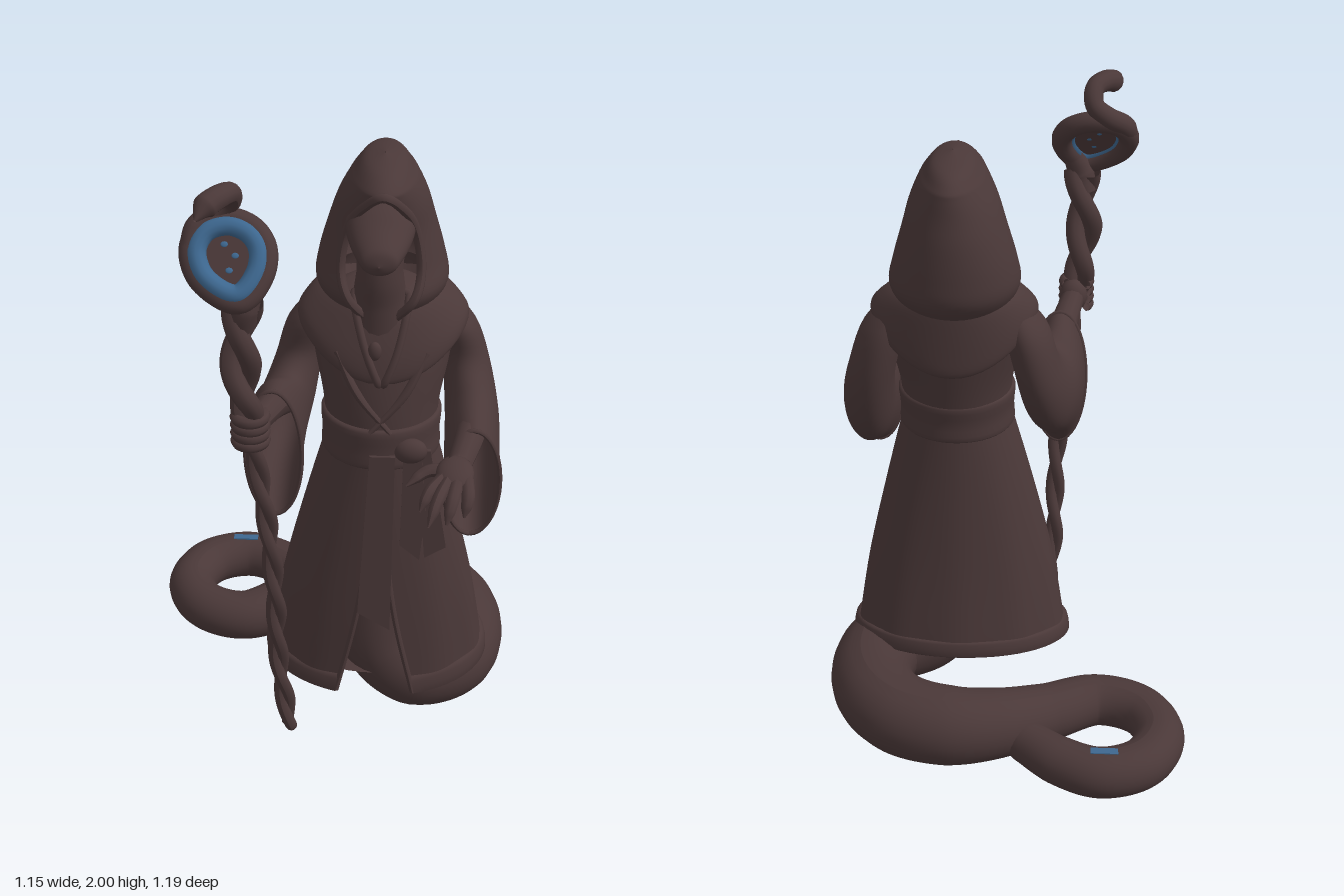
import * as THREE from 'three';
import { mergeVertices } from 'three/addons/utils/BufferGeometryUtils.js';

const PI = Math.PI;
const brown = new THREE.MeshStandardMaterial({ color: 0x4a3838, side: THREE.DoubleSide });
brown.name = 'dark brown';
const blue = new THREE.MeshStandardMaterial({ color: 0x3d678f, side: THREE.DoubleSide });
blue.name = 'blue';

const V = (p) => new THREE.Vector3(...p);

function add(parent, name, geometry, material = brown) {
  const mesh = new THREE.Mesh(geometry, material);
  mesh.name = name;
  parent.add(mesh);
  return mesh;
}

// Smoothly resample section rows: [x, y, z, halfWidth, halfDepth, tilt, frontGap, dip]
function resample(rows, steps) {
  const out = [];
  const last = rows.length - 1;
  for (let i = 0; i < last; i++) {
    for (let s = 0; s < steps; s++) {
      const t = s / steps;
      out.push([0, 1, 2, 3, 4, 5, 6, 7].map((k) => {
        const [a, b, c, d] = [-1, 0, 1, 2].map((o) => rows[Math.min(last, Math.max(0, i + o))][k] || 0);
        const m = (c - a) / 2, n = (d - b) / 2;
        return b + m * t + (3 * (c - b) - 2 * m - n) * t * t + (2 * (b - c) + m + n) * t * t * t;
      }));
    }
  }
  out.push([0, 1, 2, 3, 4, 5, 6, 7].map((k) => rows[last][k] || 0));
  return out;
}

function sectionPoint([x, y, z, w, h, tilt, , dip], a, ripple) {
  const f = 1 + ripple * Math.cos(10 * a);
  const c = Math.cos(a) * h * f;
  return [x + Math.sin(a) * w * f, y + c * Math.sin(tilt) - dip * Math.cos(a) ** 2, z + c * Math.cos(tilt)];
}

// Skin over elliptical sections; a front gap leaves the skin open
function loft(rows, { steps = 5, n = 48, ripple = 0 } = {}) {
  const sections = resample(rows, steps), pos = [], idx = [];
  sections.forEach((r, j) => {
    const gap = Math.max(0, r[6]);
    const rip = ripple * (1 - j / (sections.length - 1));
    for (let i = 0; i <= n; i++) pos.push(...sectionPoint(r, gap + (2 * PI - 2 * gap) * i / n, rip));
  });
  for (let j = 0; j < sections.length - 1; j++) {
    for (let i = 0; i < n; i++) {
      const a = j * (n + 1) + i, b = a + n + 1;
      idx.push(a, a + 1, b + 1, a, b + 1, b);
    }
  }
  let g = new THREE.BufferGeometry();
  g.setAttribute('position', new THREE.Float32BufferAttribute(pos, 3));
  g.setIndex(idx);
  g = mergeVertices(g, 1e-5);
  g.computeVertexNormals();
  return g;
}

// Tube whose radius follows a list of values along the path
function taper(points, radii, segs = 24, sides = 12) {
  const curve = new THREE.CatmullRomCurve3(points.map(V));
  const g = new THREE.TubeGeometry(curve, segs, 1, sides);
  const p = g.attributes.position, v = new THREE.Vector3();
  for (let i = 0; i <= segs; i++) {
    const c = curve.getPointAt(i / segs);
    const f = curve.getUtoTmapping(i / segs) * (radii.length - 1);
    const k = Math.min(radii.length - 2, Math.floor(f));
    const r = THREE.MathUtils.lerp(radii[k], radii[k + 1], f - k);
    for (let s = 0; s <= sides; s++) {
      const q = i * (sides + 1) + s;
      v.fromBufferAttribute(p, q).sub(c).multiplyScalar(r).add(c);
      p.setXYZ(q, v.x, v.y, v.z);
    }
  }
  g.computeVertexNormals();
  return g;
}

// Rolled trim along the open front edges of a loft
function edgeTrim(rows, r) {
  const s = resample(rows, 3).filter((q) => q[6] > 0.01);
  const pts = [...s.map((q) => sectionPoint(q, q[6], 0)), ...s.reverse().map((q) => sectionPoint(q, -q[6], 0))];
  return taper(pts, [r, r], 100, 8);
}

// Closed teardrop outline of the staff head
function teardrop(scale) {
  const pts = [[0, 0.108], [-0.07, 0.085], [-0.1, 0.025], [-0.07, -0.06], [0.035, -0.115], [0.095, -0.04], [0.1, 0.035], [0.065, 0.085]];
  return new THREE.CatmullRomCurve3(pts.map(([x, y]) => new THREE.Vector3(x * scale, y * scale, 0)), true);
}

function ball(parent, name, at, scale, material) {
  const m = add(parent, name, new THREE.SphereGeometry(1, 20, 14), material);
  m.position.set(...at);
  m.scale.set(...scale);
  return m;
}

export function createModel() {
  const model = new THREE.Group();
  model.name = 'robedSerpent';

  // Serpent tail: drops out of the robe, sweeps behind and ends in a loop
  add(model, 'tail', taper([
    [0.15, 0.8, 0.1], [0.15, 0.5, 0.13], [0.17, 0.27, 0.13], [0.28, 0.15, 0.115], [0.4, 0.135, 0.05],
    [0.44, 0.137, -0.08], [0.41, 0.14, -0.22], [0.32, 0.14, -0.32], [0.17, 0.14, -0.365], [0.02, 0.13, -0.335],
    [-0.14, 0.11, -0.25], [-0.3, 0.1, -0.17], [-0.44, 0.1, -0.22], [-0.495, 0.1, -0.345], [-0.44, 0.1, -0.47],
    [-0.31, 0.1, -0.52], [-0.18, 0.1, -0.47], [-0.07, 0.1, -0.38], [0.02, 0.11, -0.33]],
  [0.1, 0.11, 0.13, 0.137, 0.135, 0.132, 0.132, 0.13, 0.126, 0.112,
    0.092, 0.082, 0.08, 0.08, 0.08, 0.079, 0.076, 0.068, 0.04], 180, 24));
  const patch = add(model, 'tailMark', new THREE.BoxGeometry(0.085, 0.008, 0.026), blue);
  patch.position.set(-0.32, 0.177, -0.512);

  // Robe skirt, split at the front
  const skirt = [
    [0.155, 0.21, 0.072, 0.345, 0.232, -0.18, 0.36], [0.155, 0.26, 0.073, 0.338, 0.226, -0.16, 0.33],
    [0.155, 0.5, 0.086, 0.298, 0.203, -0.06, 0.19], [0.157, 0.78, 0.096, 0.232, 0.18, 0, 0.09],
    [0.16, 1.02, 0.1, 0.17, 0.16, 0, 0.02]];
  add(model, 'robeSkirt', loft(skirt, { n: 96, ripple: 0.014 }));
  add(model, 'skirtTrim', edgeTrim(skirt, 0.009));
  add(model, 'hem', loft([
    [0.155, 0.205, 0.072, 0.343, 0.23, -0.18, 0.36], [0.155, 0.21, 0.072, 0.356, 0.24, -0.18, 0.36],
    [0.155, 0.255, 0.073, 0.35, 0.235, -0.17, 0.34], [0.155, 0.265, 0.073, 0.335, 0.224, -0.16, 0.33]], { steps: 2 }));
  add(model, 'skirtLining', loft([[0.155, 0.25, 0.06, 0.001, 0.001, -0.18], [0.155, 0.25, 0.06, 0.325, 0.195, -0.18]], { steps: 1 }));

  // Upper robe, belt and shawl collar
  add(model, 'robeTop', loft([
    [0.16, 0.98, 0.1, 0.165, 0.155, 0], [0.16, 1.15, 0.085, 0.172, 0.165, 0], [0.16, 1.3, 0.06, 0.2, 0.168, 0],
    [0.155, 1.41, 0.035, 0.21, 0.16, 0], [0.155, 1.48, 0.02, 0.13, 0.13, 0], [0.155, 1.5, 0.02, 0.01, 0.01, 0]]));
  add(model, 'belt', loft([
    [0.16, 1.0, 0.1, 0.165, 0.155, 0], [0.16, 1.005, 0.1, 0.178, 0.17, 0], [0.16, 1.06, 0.098, 0.176, 0.168, 0],
    [0.16, 1.12, 0.093, 0.18, 0.172, 0], [0.16, 1.13, 0.092, 0.165, 0.155, 0]], { steps: 3 }));
  const shawl = [
    [0.16, 1.385, 0.04, 0.225, 0.17, 0, 0.02, 0.12], [0.16, 1.4, 0.042, 0.248, 0.193, 0, 0.04, 0.12],
    [0.16, 1.44, 0.035, 0.245, 0.19, 0, 0.16, 0.09], [0.157, 1.49, 0.015, 0.2, 0.17, 0, 0.36, 0.03],
    [0.155, 1.52, 0.0, 0.15, 0.15, 0, 0.55, 0]];
  add(model, 'shawlCollar', loft(shawl));
  add(model, 'collarTrim', edgeTrim(shawl, 0.012));
  ball(model, 'clasp', [0.14, 1.375, 0.216], [0.02, 0.03, 0.016]);
  for (const s of [-1, 1]) {
    add(model, 'lapelFold', taper([[0.16 + s * 0.13, 1.36, 0.19], [0.16 + s * 0.07, 1.24, 0.23], [0.16 - s * 0.03, 1.12, 0.255]],
      [0.012, 0.013, 0.008], 16, 8));
  }

  // Sash ends hanging from the belt
  const strips = [
    [[0.13, 0], [0.205, 0], [0.2, -0.61], [0.1, -0.55]],
    [[0.23, 0], [0.285, 0], [0.3, -0.2], [0.285, -0.36], [0.225, -0.31]],
    [[0.27, 0], [0.31, 0], [0.365, -0.33], [0.3, -0.37]]];
  strips.forEach((pts, i) => {
    const shape = new THREE.Shape(pts.map((p) => new THREE.Vector2(...p)));
    const m = add(model, 'sashEnd', new THREE.ExtrudeGeometry(shape, { depth: 0.016, bevelEnabled: false }));
    m.position.set(0, 1.05, [0.26, 0.248, 0.222][i]);
    m.rotation.x = -0.07;
  });
  ball(model, 'sashKnot', [0.25, 1.06, 0.25], [0.05, 0.04, 0.032]);

  // Hood
  const hood = [
    [0.155, 1.45, 0.01, 0.155, 0.15, 0, 0.25], [0.155, 1.52, 0.008, 0.193, 0.195, 0, 0.5],
    [0.153, 1.6, -0.005, 0.182, 0.187, 0, 0.68], [0.153, 1.7, -0.005, 0.154, 0.18, 0, 0.72],
    [0.155, 1.78, 0.01, 0.13, 0.18, 0, 0.6], [0.157, 1.84, 0.025, 0.102, 0.184, 0, 0.3],
    [0.157, 1.865, 0.03, 0.085, 0.178, 0, 0], [0.158, 1.9, 0.025, 0.055, 0.12, 0, 0],
    [0.158, 1.917, 0.04, 0.002, 0.004, 0, 0]];
  add(model, 'hood', loft(hood));
  add(model, 'hoodBrim', edgeTrim(hood, 0.014));

  // Neck and broad snouted head
  add(model, 'neck', taper([[0.15, 1.38, 0.1], [0.15, 1.5, 0.115], [0.15, 1.6, 0.13], [0.15, 1.72, 0.09]], [0.095, 0.078, 0.066, 0.075], 24, 20));
  add(model, 'head', loft([
    [0.15, 1.73, -0.06, 0.002, 0.002], [0.15, 1.73, -0.03, 0.08, 0.075], [0.15, 1.735, 0.08, 0.1, 0.09],
    [0.15, 1.73, 0.16, 0.096, 0.076], [0.15, 1.713, 0.22, 0.08, 0.058], [0.15, 1.7, 0.27, 0.06, 0.044],
    [0.15, 1.692, 0.292, 0.044, 0.032], [0.15, 1.69, 0.302, 0.002, 0.002]].map((r) => [...r, -PI / 2])));

  // Wide hanging sleeves
  const leftSleeve = [
    [0.32, 1.46, 0.01, 0.03, 0.06, PI], [0.37, 1.37, 0.0, 0.065, 0.095, 1.05 * PI], [0.41, 1.23, 0.0, 0.072, 0.1, 1.15 * PI],
    [0.43, 1.1, 0.07, 0.08, 0.14, 1.3 * PI], [0.432, 1.035, 0.18, 0.082, 0.16, 1.43 * PI], [0.432, 0.985, 0.3, 0.082, 0.19, 1.48 * PI]];
  const rightSleeve = [
    [-0.01, 1.46, 0.01, 0.03, 0.06, PI], [-0.055, 1.37, 0.0, 0.065, 0.095, 1.05 * PI], [-0.09, 1.24, 0.0, 0.07, 0.1, 1.15 * PI],
    [-0.12, 1.14, 0.06, 0.08, 0.13, 1.3 * PI], [-0.145, 1.095, 0.16, 0.085, 0.17, 1.43 * PI], [-0.152, 1.05, 0.27, 0.083, 0.225, 1.48 * PI]];
  for (const [name, rows] of [['leftSleeve', leftSleeve], ['rightSleeve', rightSleeve]]) {
    add(model, name, loft(rows));
    const end = [...rows[5], 0, 0];
    const rim = Array.from({ length: 25 }, (_, i) => sectionPoint(end, 2 * PI * i / 24, 0));
    add(model, name + 'Cuff', taper(rim, [0.007, 0.007], 60, 8));
  }

  // Left hand, open and reaching forward
  add(model, 'leftForearm', taper([[0.43, 1.1, 0.12], [0.42, 1.135, 0.28], [0.39, 1.115, 0.4]], [0.048, 0.043, 0.036]));
  ball(model, 'leftPalm', [0.378, 1.1, 0.425], [0.055, 0.03, 0.065]).rotation.x = 0.3;
  const fingers = [
    [[0.345, 1.095, 0.44], [0.305, 1.085, 0.5], [0.28, 1.045, 0.54]], [[0.36, 1.095, 0.45], [0.33, 1.08, 0.53], [0.305, 1.03, 0.592]],
    [[0.385, 1.095, 0.45], [0.37, 1.075, 0.53], [0.355, 1.025, 0.575]], [[0.41, 1.095, 0.44], [0.415, 1.07, 0.5], [0.405, 1.025, 0.535]],
    [[0.36, 1.095, 0.4], [0.3, 1.09, 0.4], [0.24, 1.06, 0.435]]];
  fingers.forEach((p) => add(model, 'leftFinger', taper(p, [0.021, 0.02, 0.019, 0.016, 0.003], 18, 8)));

  // Right hand, closed around the staff
  add(model, 'rightForearm', taper([[-0.13, 1.15, 0.1], [-0.155, 1.215, 0.26], [-0.19, 1.255, 0.43]], [0.055, 0.045, 0.036]));
  ball(model, 'rightPalm', [-0.19, 1.255, 0.44], [0.045, 0.055, 0.04]);
  for (let i = 0; i < 4; i++) {
    const f = add(model, 'rightFinger', new THREE.TorusGeometry(0.04, 0.017, 8, 20, PI * 1.4));
    f.position.set(-0.2, 1.22 + i * 0.026, 0.457);
    f.rotation.set(PI / 2, 0, -0.6);
  }

  // Staff of two twisted strands, thicker above the hand
  const staff = new THREE.Group();
  staff.name = 'staff';
  model.add(staff);
  const axis = new THREE.CatmullRomCurve3([[-0.11, 0.04, 0.325], [-0.14, 0.35, 0.355], [-0.145, 0.65, 0.395], [-0.165, 0.95, 0.425],
    [-0.2, 1.25, 0.457], [-0.22, 1.48, 0.475], [-0.21, 1.67, 0.48]].map(V));
  for (const phase of [0, PI]) {
    const pts = [], radii = [];
    for (let i = 0; i <= 90; i++) {
      const p = axis.getPointAt(i / 90);
      const k = THREE.MathUtils.smoothstep(p.y, 1.2, 1.38);
      const a = phase + p.y * 17, off = 0.013 + 0.014 * k;
      pts.push([p.x + off * Math.cos(a), p.y, p.z + off * Math.sin(a)]);
      radii.push(i === 0 ? 0.004 : 0.019 + 0.012 * k);
    }
    add(staff, 'staffStrand', taper(pts, radii, 200, 10));
  }

  // Staff head: tilted teardrop coil with a blue lip and a bowl
  const ring = new THREE.Group();
  ring.name = 'staffRing';
  ring.position.set(-0.25, 1.78, 0.445);
  ring.rotation.x = -0.6;
  staff.add(ring);
  add(ring, 'ringCoil', new THREE.TubeGeometry(teardrop(1), 64, 0.032, 14, true));
  add(ring, 'ringLip', new THREE.TubeGeometry(teardrop(0.82), 64, 0.027, 12, true), blue).position.z = 0.016;
  const bowl = new THREE.Shape(teardrop(0.85).getPoints(40).map((p) => new THREE.Vector2(p.x, p.y)));
  add(ring, 'ringBowl', new THREE.ShapeGeometry(bowl));
  for (const [x, y] of [[-0.01, 0.04], [0.02, 0.01], [0.005, -0.03]]) {
    ball(ring, 'bowlSpot', [x, y, 0.002], [0.01, 0.008, 0.003], blue);
  }
  add(staff, 'ringStem', taper([[-0.215, 1.6, 0.48], [-0.205, 1.66, 0.49], [-0.18, 1.72, 0.475]], [0.04, 0.042, 0.03]));

  // Snake rising from the side of the coil, head bent forward
  add(staff, 'staffSnake', taper([[-0.35, 1.8, 0.435], [-0.335, 1.85, 0.4], [-0.285, 1.885, 0.377], [-0.245, 1.92, 0.382],
    [-0.242, 1.96, 0.415], [-0.268, 1.968, 0.458], [-0.3, 1.957, 0.495], [-0.322, 1.935, 0.535]],
  [0.03, 0.033, 0.032, 0.029, 0.029, 0.032, 0.034, 0.004], 56, 14));
  return model;
}
